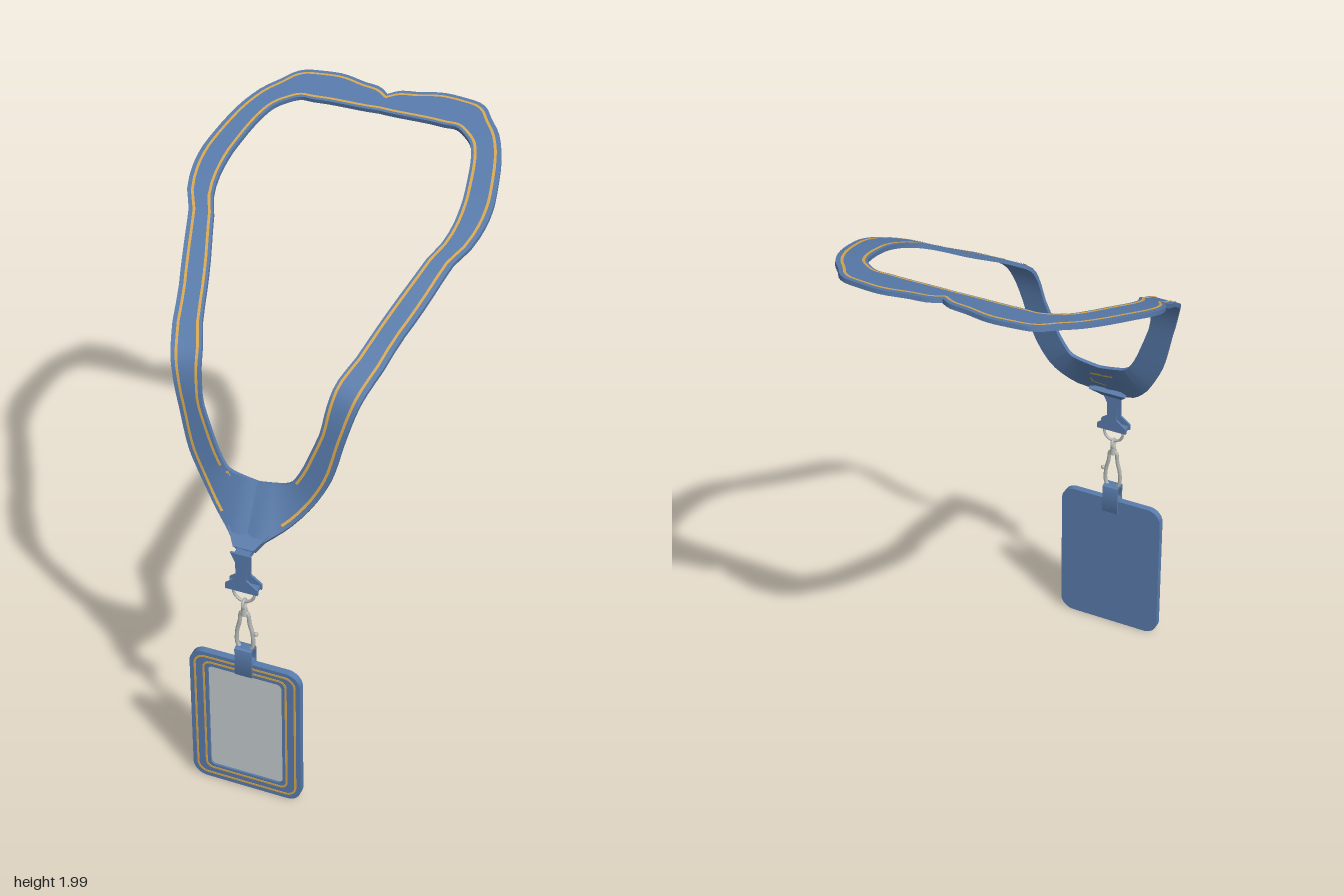
import * as THREE from 'three';
import { toCreasedNormals } from 'three/addons/utils/BufferGeometryUtils.js';

const material = (name, color, side = THREE.FrontSide) => {
  const m = new THREE.MeshStandardMaterial({ color, side });
  m.name = name;
  return m;
};

// Side profile of the strap, back of the neck to the clasp: [z, y]
const PROFILE = [[-0.66, 1.99], [-0.625, 1.985], [-0.44, 1.94], [-0.23, 1.872], [-0.07, 1.805], [0, 1.77],
  [0.14, 1.685], [0.33, 1.575], [0.417, 1.51], [0.447, 1.44], [0.46, 1.36], [0.475, 1.23],
  [0.495, 1.12], [0.54, 1.045], [0.59, 1.0], [0.615, 0.95]];

// Position along the profile (table index) of a given z (column 0) or y (column 1)
function along(column, v) {
  for (let i = 0; i < PROFILE.length - 1; i++) {
    const a = PROFILE[i][column], b = PROFILE[i + 1][column];
    if ((v - a) * (v - b) <= 0) return i + (v - a) / (b - a);
  }
  return PROFILE.length - 1;
}
const profileCurve = new THREE.CatmullRomCurve3(PROFILE.map(([z, y]) => new THREE.Vector3(0, y, z)));
function onSheet(x, s) {
  const t = THREE.MathUtils.clamp(s / (PROFILE.length - 1), 0, 1);
  const p = profileCurve.getPoint(t), d = profileCurve.getTangent(t);
  p.x = x;
  return { p, n: new THREE.Vector3(0, d.z, -d.y).normalize() };
}

// Strap stations: outer x, outer place, inner x, inner place.
// A place above 0.9 is a height y, otherwise it is a depth z.
const STATIONS = [
  [0, -0.57, 0, -0.495], [0.04, -0.602, 0.05, -0.493], [0.11, -0.62, 0.11, -0.493],
  [0.18, -0.635, 0.17, -0.493], [0.25, -0.63, 0.225, -0.49], [0.32, -0.605, 0.265, -0.49],
  [0.36, -0.55, 0.3, -0.47], [0.41, -0.49, 0.335, -0.435], [0.45, -0.4, 0.36, -0.37],
  [0.48, -0.28, 0.38, -0.28], [0.492, -0.2, 0.392, -0.2], [0.485, -0.11, 0.39, -0.1],
  [0.44, 0, 0.355, 0], [0.4, 0.14, 0.31, 0.13], [0.36, 0.27, 0.27, 0.26],
  [0.322, 0.4, 0.225, 0.38], [0.3, 1.46, 0.208, 1.47], [0.275, 1.37, 0.193, 1.38],
  [0.245, 1.25, 0.16, 1.29], [0.21, 1.17, 0.125, 1.215], [0.15, 1.085, 0.1, 1.185],
  [0.08, 1.025, 0.05, 1.172], [0, 0.965, 0, 1.165]];
const place = (x, v) => new THREE.Vector2(x, along(v > 0.9 ? 1 : 0, v));
const HALF = 0.007; // half the strap thickness

// Surface through rows of points
function loft(rows, closed) {
  const n = rows[0].length, index = [];
  for (let i = 0; i < rows.length - 1; i++) {
    for (let j = 0; j < (closed ? n : n - 1); j++) {
      const a = i * n + j, b = i * n + (j + 1) % n;
      index.push(a, a + n, b, b, a + n, b + n);
    }
  }
  const g = new THREE.BufferGeometry().setFromPoints(rows.flat());
  g.setIndex(index);
  return toCreasedNormals(g, 0.6);
}

// Narrow flat trim lying just above the strap
function trim(path, width) {
  const rows = path.map(({ p, n }, i) => {
    const dir = path[Math.min(i + 1, path.length - 1)].p.clone().sub(path[Math.max(i - 1, 0)].p);
    const side = dir.cross(n).normalize().multiplyScalar(width / 2);
    const c = p.clone().addScaledVector(n, HALF + 0.002);
    return [c.clone().add(side), c.clone().sub(side)];
  });
  return loft(rows, false);
}

function roundedRect(x, y0, y1, r, Type = THREE.Shape) {
  const s = new Type();
  s.absarc(x - r, y1 - r, r, 0, Math.PI / 2);
  s.absarc(-x + r, y1 - r, r, Math.PI / 2, Math.PI);
  s.absarc(-x + r, y0 + r, r, Math.PI, Math.PI * 1.5);
  s.absarc(x - r, y0 + r, r, Math.PI * 1.5, Math.PI * 2);
  s.closePath();
  return s;
}
const extrude = (shape, depth) =>
  toCreasedNormals(new THREE.ExtrudeGeometry(shape, { depth, bevelEnabled: false, curveSegments: 8 }), 0.6);

export function createModel() {
  const model = new THREE.Group();
  const blue = material('blue fabric', 0x587bab);
  const strapBlue = blue;
  strapBlue.side = THREE.DoubleSide;
  const gold = material('gold trim', 0xd9a74e, THREE.DoubleSide);
  const metal = material('metal', 0xb4b8b4);
  const grey = material('window grey', 0xc4cccd);
  const add = (name, geometry, mat, x = 0, y = 0, z = 0) => {
    const m = new THREE.Mesh(geometry, mat);
    m.name = name;
    m.position.set(x, y, z);
    model.add(m);
    return m;
  };
  const Z = 0.613; // depth of the hanging parts

  // Neck strap, one half per side, with trim along both edges
  const outer = new THREE.SplineCurve(STATIONS.map(s => place(s[0], s[1])));
  const inner = new THREE.SplineCurve(STATIONS.map(s => place(s[2], s[3])));
  const steps = (STATIONS.length - 1) * 3;
  for (const side of [1, -1]) {
    const rows = [], outerTrim = [], innerTrim = [];
    for (let i = 0; i <= steps; i++) {
      const a = outer.getPoint(i / steps), b = inner.getPoint(i / steps);
      const o = onSheet(side * a.x, a.y), n = onSheet(side * b.x, b.y);
      rows.push([[o, 1], [n, 1], [n, -1], [o, -1]].map(([q, k]) => q.p.clone().addScaledVector(q.n, k * HALF)));
      const width = o.p.distanceTo(n.p);
      const inset = (d) => ({ p: o.p.clone().lerp(n.p, d / width), n: o.n.clone().lerp(n.n, d / width).normalize() });
      if (i < steps - 3) outerTrim.push(inset(0.019));
      if (i < steps - 7) innerTrim.push(inset(width - 0.013));
    }
    const label = side > 0 ? 'left' : 'right';
    add(label + 'Strap', loft(rows, true), strapBlue);
    add(label + 'OuterTrim', trim(outerTrim, 0.009), gold);
    add(label + 'InnerTrim', trim(innerTrim, 0.009), gold);
  }

  // Trim where the two strap ends overlap
  const overlaps = [
    [[-0.105, 1.18], [-0.07, 1.12], [0, 1.112], [0.06, 1.105], [0.05, 1.06]],
    [[0.1, 1.17], [0.075, 1.1], [0.05, 1.055], [0, 1.045]]];
  for (const path of overlaps) {
    add('overlapTrim', trim(path.map(([x, y]) => onSheet(x, along(1, y))), 0.011), gold);
  }

  // Collar gathering the strap ends
  const collar = new THREE.Shape([[-0.035, -0.03], [0.035, -0.03], [0.07, 0.03], [-0.07, 0.03]]
    .map(p => new THREE.Vector2(...p)));
  add('strapCollar', extrude(collar, 0.026).translate(0, 0, -0.013), blue, 0, 1.005, 0.582).rotation.x = -0.8;

  // Flared fabric loop below the collar
  const half = [[0.035, 0.985], [0.018, 0.95], [0.018, 0.885], [0.055, 0.857], [0.055, 0.838]];
  const outline = [...half, ...half.map(([x, y]) => [-x, y]).reverse()].reverse();
  const tab = new THREE.Shape(outline.map(p => new THREE.Vector2(...p)));
  for (const z of [-0.021, 0.013]) add('loopPlate', extrude(tab, 0.008), blue, 0, 0, Z + z);
  add('loopTop', new THREE.BoxGeometry(0.05, 0.012, 0.03), blue, 0, 0.975, Z);
  add('loopFoot', new THREE.BoxGeometry(0.1, 0.014, 0.03), blue, 0, 0.846, Z);

  // Metal ring, swivel and spring hook
  add('ring', new THREE.TorusGeometry(0.036, 0.005, 8, 28), metal, 0, 0.822, Z);
  add('swivelEye', new THREE.TorusGeometry(0.015, 0.005, 8, 18), metal, 0, 0.775, Z).rotation.y = Math.PI / 2;
  add('swivelBarrel', new THREE.CylinderGeometry(0.009, 0.013, 0.03, 12), metal, 0, 0.746, Z);
  const hook = [[0, 0.745], [0.012, 0.735], [0.017, 0.7], [0.027, 0.655], [0.025, 0.605], [0, 0.578],
    [-0.025, 0.605], [-0.027, 0.655], [-0.017, 0.7], [-0.012, 0.735]];
  const hookCurve = new THREE.CatmullRomCurve3(hook.map(([x, y]) => new THREE.Vector3(x, y, Z)), true);
  add('springHook', new THREE.TubeGeometry(hookCurve, 48, 0.007, 8, true), metal);
  add('hookLever', new THREE.SphereGeometry(0.008, 10, 8), metal, 0.038, 0.662, Z);

  // Clip band between the hook and the card holder
  const band = roundedRect(0.021, 0.487, 0.6, 0.008);
  band.holes.push(roundedRect(0.013, 0.545, 0.59, 0.006, THREE.Path));
  add('clipBand', extrude(band, 0.058).translate(0, 0, -0.029), blue, 0, 0, Z).rotation.y = Math.PI / 2;

  // Card holder: back plate, raised frame, window and trim
  add('holderBack', extrude(roundedRect(0.193, 0, 0.54, 0.05), 0.014), blue, 0, 0, Z - 0.012);
  const frame = roundedRect(0.193, 0, 0.54, 0.05);
  frame.holes.push(roundedRect(0.129, 0.058, 0.486, 0.018, THREE.Path));
  add('holderFrame', extrude(frame, 0.01), blue, 0, 0, Z + 0.002);
  add('holderWindow', extrude(roundedRect(0.129, 0.058, 0.486, 0.018), 0.003), grey, 0, 0, Z + 0.002);
  for (const [x, y0, y1, r] of [[0.178, 0.016, 0.526, 0.04], [0.147, 0.041, 0.506, 0.028]]) {
    const line = roundedRect(x, y0, y1, r), w = 0.007;
    line.holes.push(roundedRect(x - w, y0 + w, y1 - w, r - w, THREE.Path));
    add('holderTrim', extrude(line, 0.002), gold, 0, 0, Z + 0.0115);
  }
  return model;
}
